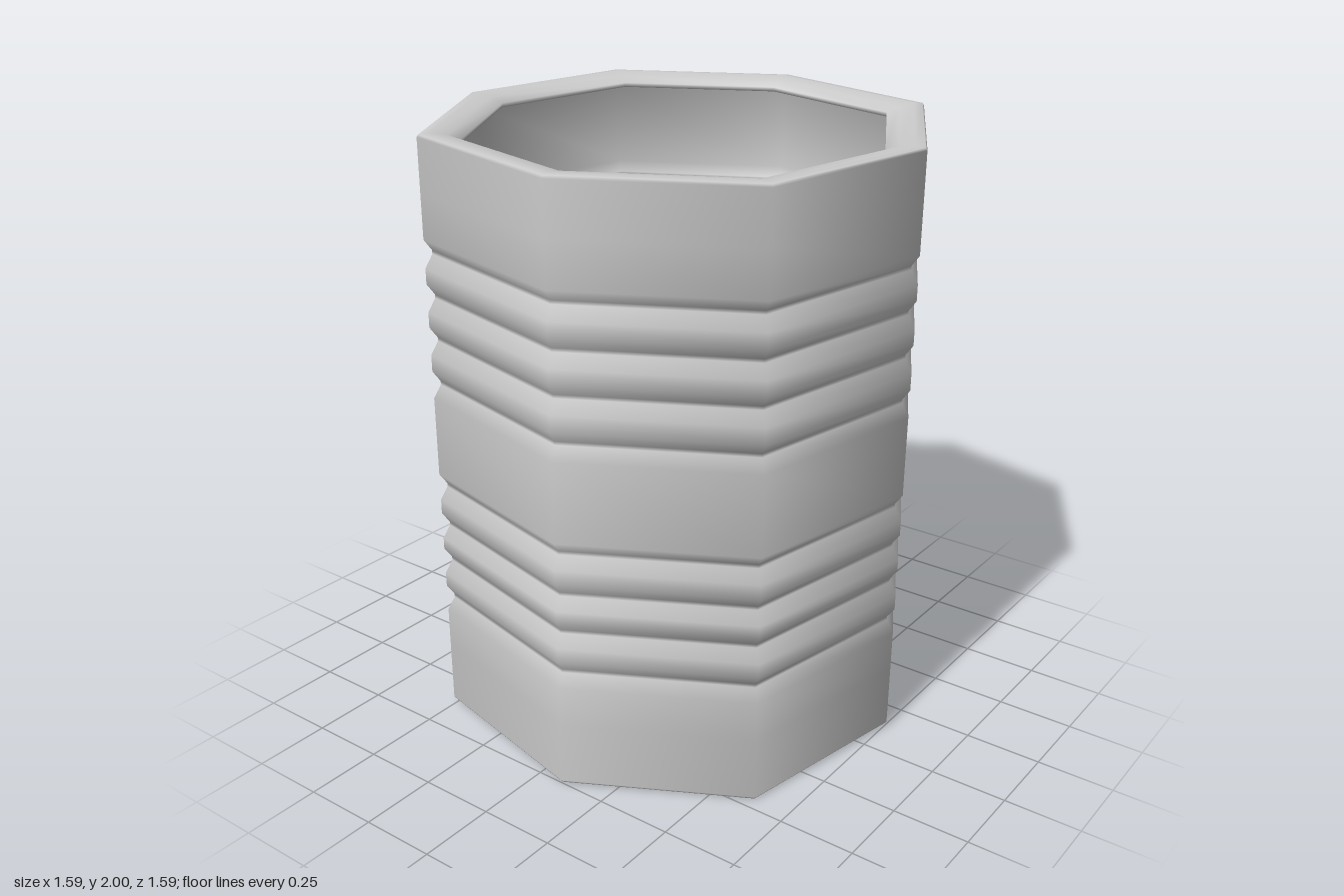
import * as THREE from 'three';

const SIDES = 8;
const HEIGHT = 1.955;
const OUTER = 0.785;
const INNER = 0.75;
const GROOVES = [0.405, 0.545, 0.675, 0.815, 1.17, 1.315, 1.455, 1.595];

// Wall profile from bottom to top, pinched in at every groove.
function ribbedWall(radius, depth) {
  const points = [];
  for (const y of GROOVES) {
    points.push([radius, y - 0.05], [radius - depth, y - 0.006]);
    points.push([radius - depth, y + 0.006], [radius, y + 0.04]);
  }
  return points;
}

// Floor profile from the centre outwards: button, plateau, concentric ripples.
function rippledFloor(y) {
  const points = [[0, y + 0.05], [0.03, y + 0.045], [0.045, y + 0.02], [0.08, y + 0.018], [0.29, y + 0.025]];
  const ripples = [[0.365, 0], [0.43, 0.025], [0.49, 0], [0.555, 0.025], [0.62, 0]];
  for (const [r, h] of ripples) points.push([r - 0.012, y + h], [r + 0.012, y + h]);
  return points;
}

export function createModel() {
  const model = new THREE.Group();
  model.name = 'can';

  // One closed section: underside, outer wall, inward lip, inner wall, floor.
  const section = [
    ...rippledFloor(0.03),
    [0.66, 0.025], [0.7, 0.008], [0.75, 0], [0.78, 0.002], [OUTER, 0.01],
    [OUTER, 0.22],
    ...ribbedWall(OUTER, 0.023),
    [OUTER, 1.78], [OUTER, HEIGHT - 0.01], [0.78, HEIGHT - 0.002],
    [0.75, HEIGHT], [0.7, HEIGHT - 0.008], [0.66, HEIGHT - 0.025],
    [0.665, HEIGHT - 0.04], [INNER, HEIGHT - 0.05],
    ...ribbedWall(INNER, 0.023).reverse(),
    [INNER, 0.1], [0.74, 0.07], [0.68, 0.065],
    ...rippledFloor(0.06).reverse(),
  ].map(([r, y]) => new THREE.Vector2(r, y));

  const turn = THREE.MathUtils.degToRad(8.5);
  const geometry = new THREE.LatheGeometry(section, SIDES, turn);

  // Every other corner of the octagon stands out a little further.
  const position = geometry.attributes.position;
  for (let i = 0; i < position.count; i++) {
    if (Math.floor(i / section.length) % 2 === 0) continue;
    position.setX(i, position.getX(i) * 1.028);
    position.setZ(i, position.getZ(i) * 1.028);
  }

  const body = new THREE.Mesh(
    geometry,
    new THREE.MeshStandardMaterial({ color: 0xcccccc, side: THREE.DoubleSide })
  );
  body.name = 'ribbedCanBody';
  body.position.y = -HEIGHT / 2;

  // The whole can leans slightly to the front and right.
  const lean = new THREE.Group();
  lean.name = 'leaningCan';
  lean.add(body);
  lean.position.y = 1;
  lean.quaternion.setFromUnitVectors(
    new THREE.Vector3(0, 1, 0),
    new THREE.Vector3(-0.021, 1, 0.021).normalize()
  );
  model.add(lean);
  return model;
}
